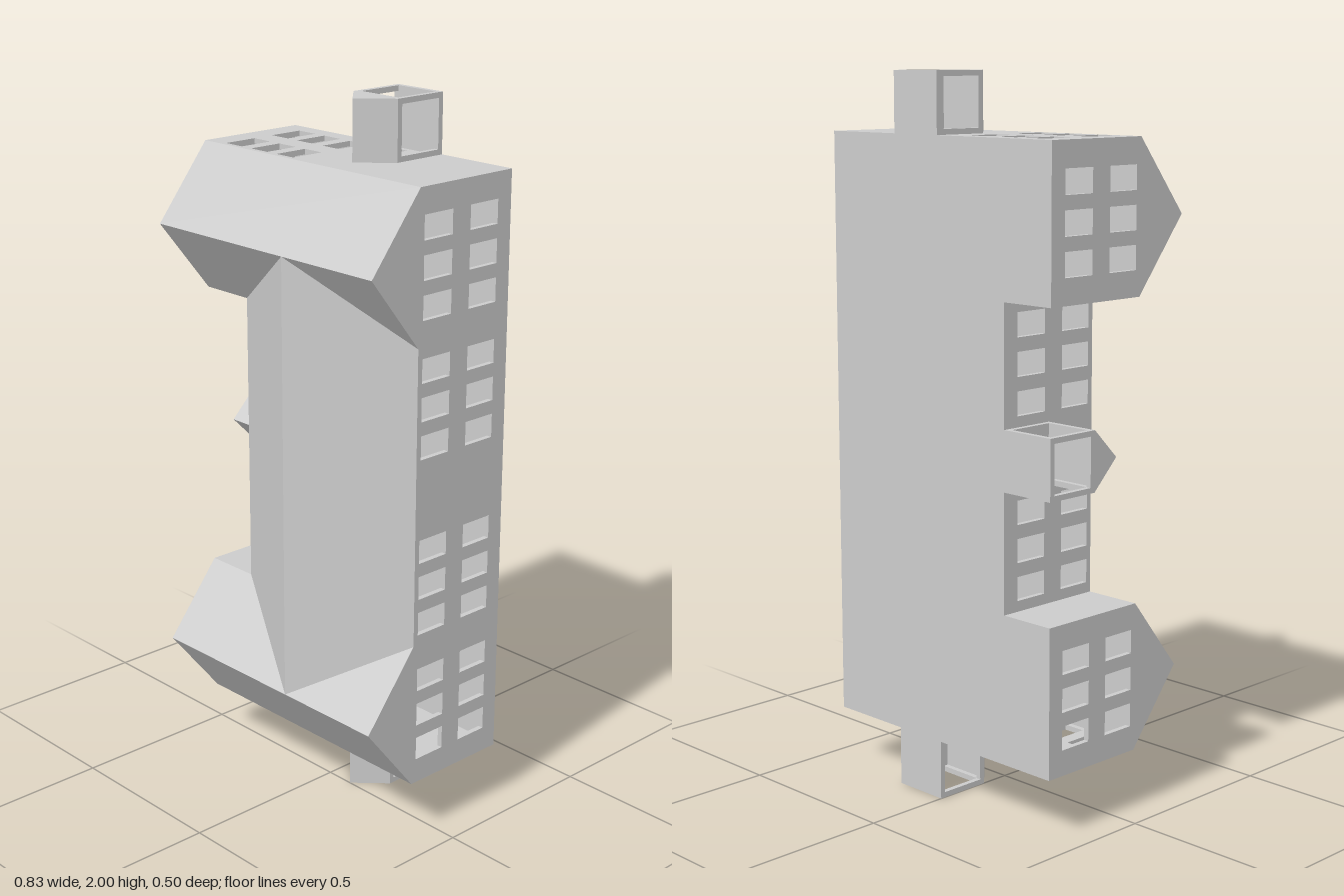
import * as THREE from 'three';

const U = 1 / 12;                 // planning module
const T = 0.015;                  // wall and floor thickness
const GROUND = -3 * U, EAVE = U, RIDGE = 3 * U;
const PORCH_EAVE = -U;
const material = new THREE.MeshStandardMaterial({ color: 0xcccccc, flatShading: true });
const Z = new THREE.Vector3(0, 0, 1);
const pt = (x, y) => new THREE.Vector3(x * U, y * U, 0);

function rect(x0, y0, x1, y1, Kind = THREE.Path) {
  const p = new Kind();
  p.moveTo(x0, y0);
  p.lineTo(x1, y0);
  p.lineTo(x1, y1);
  p.lineTo(x0, y1);
  p.closePath();
  return p;
}

const extrude = (shape, depth) => new THREE.ExtrudeGeometry(shape, { depth, bevelEnabled: false });

function add(parent, name, geometry) {
  const mesh = new THREE.Mesh(geometry, material);
  mesh.name = name;
  parent.add(mesh);
}

// Upright wall from a to b; its thickness lies to the left of that direction
function wall(parent, name, a, b, top, holes = []) {
  const dir = b.clone().sub(a), length = dir.length();
  dir.normalize();
  const out = dir.clone().cross(Z);
  const shape = rect(0, GROUND, length, top, THREE.Shape);
  shape.holes.push(...holes);
  const m = new THREE.Matrix4().makeBasis(dir, Z, out).setPosition(a.clone().addScaledVector(out, -T));
  add(parent, name, extrude(shape, T).applyMatrix4(m));
}

// Gable roof whose ridge runs from a to b
function gable(parent, name, a, b, half, eave, ridge) {
  const dir = b.clone().sub(a), length = dir.length();
  dir.normalize();
  const shape = new THREE.Shape();
  shape.moveTo(-half, eave);
  shape.lineTo(half, eave);
  shape.lineTo(0, ridge);
  shape.closePath();
  const m = new THREE.Matrix4().makeBasis(Z.clone().cross(dir), Z, dir).setPosition(a);
  add(parent, name, extrude(shape, length).applyMatrix4(m));
}

// Block of three by two windows around each centre along a wall
function windows(...centres) {
  const holes = [];
  for (const c of centres) for (const i of [-1, 0, 1]) for (const z of [-0.15, 0.017]) {
    const u = c * U + i * 0.104;
    holes.push(rect(u - 0.033, z - 0.051, u + 0.033, z + 0.051));
  }
  return holes;
}

// Pair of narrow lights in a door
const doorLights = (c) => [-0.025, 0.025].map((d) =>
  rect(c * U + d - 0.01, -0.218, c * U + d + 0.01, -0.118));

// Open porch standing on the wall line from a to b
function porch(parent, name, a, b) {
  const group = new THREE.Group();
  group.name = name;
  const out = b.clone().sub(a).cross(Z);
  const path = [a, a.clone().add(out), b.clone().add(out), b];
  for (let i = 0; i < 3; i++) {
    const opening = rect(T, GROUND + T, 2 * U - T, PORCH_EAVE - T);
    wall(group, 'porchFrame', path[i], path[i + 1], PORCH_EAVE, [opening]);
  }
  const mid = a.clone().add(b).multiplyScalar(0.5);
  gable(group, 'porchRoof', mid, mid.clone().add(out), U, PORCH_EAVE, 0);
  parent.add(group);
}

export function createModel() {
  const model = new THREE.Group();
  model.name = 'building';

  // Floor slab, with the three porch floors
  const plan = [[5, 2], [5, 22], [2, 22], [2, 24], [0, 24], [0, 22], [-5, 22], [-5, 17], [-3, 17],
    [-3, 13], [-5, 13], [-5, 11], [-3, 11], [-3, 7], [-5, 7], [-5, 2], [0, 2], [0, 0], [2, 0], [2, 2]];
  const floor = new THREE.Shape(plan.map(([x, y]) => new THREE.Vector2(x * U, y * U)));
  add(model, 'floor', extrude(floor, T).translate(0, 0, GROUND));

  // Outer walls, counter-clockwise around the plan
  const walls = [
    ['longWall', 5, 2, 5, 22, windows(2.5, 7, 13, 17.5)],
    ['upperEndWall', 5, 22, -5, 22, [...windows(7.5), ...doorLights(4)]],
    ['upperWingGableWall', -5, 22, -5, 17, windows(2.5)],
    ['upperWingInnerWall', -5, 17, -3, 17, []],
    ['courtWall', -3, 17, -3, 7, [...windows(2, 8), ...doorLights(5)]],
    ['lowerWingInnerWall', -3, 7, -5, 7, []],
    ['lowerWingGableWall', -5, 7, -5, 2, windows(2.5)],
    ['lowerEndWall', -5, 2, 5, 2, [...windows(2.5), ...doorLights(6)]],
  ];
  for (const [name, x0, y0, x1, y1, holes] of walls) wall(model, name, pt(x0, y0), pt(x1, y1), EAVE, holes);

  // Roofs: two wings and the connecting range, meeting in valleys
  gable(model, 'upperWingRoof', pt(-5, 19.5), pt(5, 19.5), 2.5 * U, EAVE, RIDGE);
  gable(model, 'lowerWingRoof', pt(-5, 4.5), pt(5, 4.5), 2.5 * U, EAVE, RIDGE);
  gable(model, 'mainRoof', pt(1, 4.5), pt(1, 19.5), 4 * U, EAVE, RIDGE);

  // Entrance porches
  porch(model, 'upperPorch', pt(2, 22), pt(0, 22));
  porch(model, 'lowerPorch', pt(0, 2), pt(2, 2));
  porch(model, 'courtPorch', pt(-3, 13), pt(-3, 11));

  return model;
}
